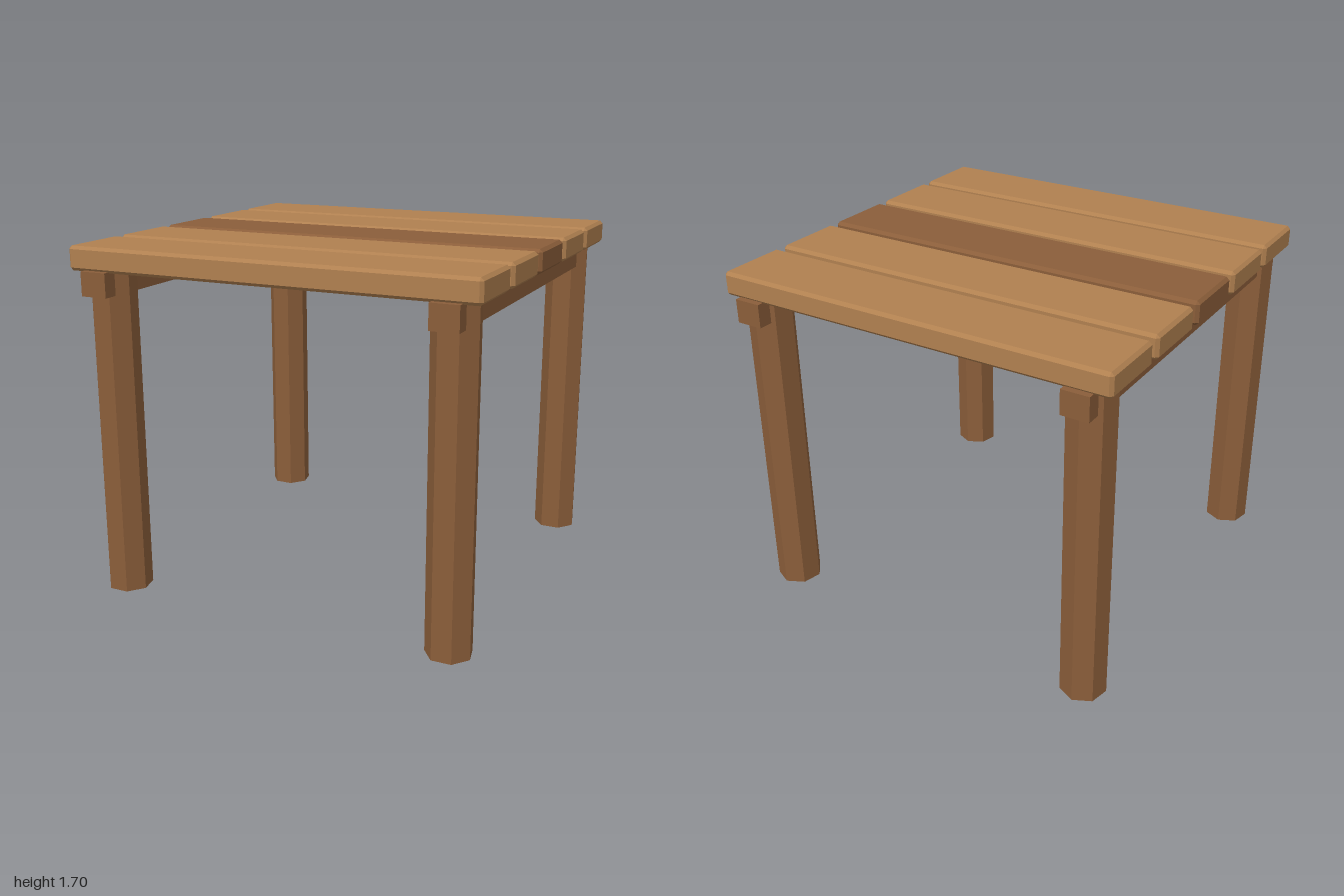
import * as THREE from 'three';
import { ConvexGeometry } from 'three/addons/geometries/ConvexGeometry.js';

// Box with flat chamfers on every edge
function chamferedBox(w, h, d, c) {
  const points = [];
  for (const sx of [-1, 1]) for (const sy of [-1, 1]) for (const sz of [-1, 1]) {
    const x = w / 2, y = h / 2, z = d / 2;
    points.push(
      new THREE.Vector3(sx * x, sy * (y - c), sz * (z - c)),
      new THREE.Vector3(sx * (x - c), sy * y, sz * (z - c)),
      new THREE.Vector3(sx * (x - c), sy * (y - c), sz * z),
    );
  }
  return new ConvexGeometry(points);
}

export function createModel() {
  const table = new THREE.Group();
  table.name = 'table';

  const lightWood = new THREE.MeshStandardMaterial({ color: 0xb08050, flatShading: true });
  lightWood.name = 'light wood';
  const darkWood = new THREE.MeshStandardMaterial({ color: 0x8b5e3a, flatShading: true });
  darkWood.name = 'dark wood';

  const add = (name, geometry, material, x, y, z) => {
    const mesh = new THREE.Mesh(geometry, material);
    mesh.name = name;
    mesh.position.set(x, y, z);
    table.add(mesh);
    return mesh;
  };

  // Table top: five planks, the middle one darker
  const plank = chamferedBox(2, 0.115, 0.356, 0.015);
  for (let i = -2; i <= 2; i++) {
    add('plank', plank, i === 0 ? darkWood : lightWood, 0, 1.6425, i * 0.4);
  }

  // Cross beams under the planks, and seven-sided legs with a flat face to the front
  const beam = new THREE.BoxGeometry(0.133, 0.115, 2);
  const legHeight = 1.69;
  const leg = new THREE.CylinderGeometry(0.11, 0.11, legHeight, 7);
  leg.rotateY(Math.PI);
  for (const side of [-1, 1]) {
    add(side > 0 ? 'leftBeam' : 'rightBeam', beam, darkWood, side * 0.85, 1.5325, 0);
    for (const end of [-1, 1]) {
      add(end > 0 ? 'frontLeg' : 'backLeg', leg, darkWood, side * 0.85, legHeight / 2, end * 0.85);
    }
  }

  return table;
}
